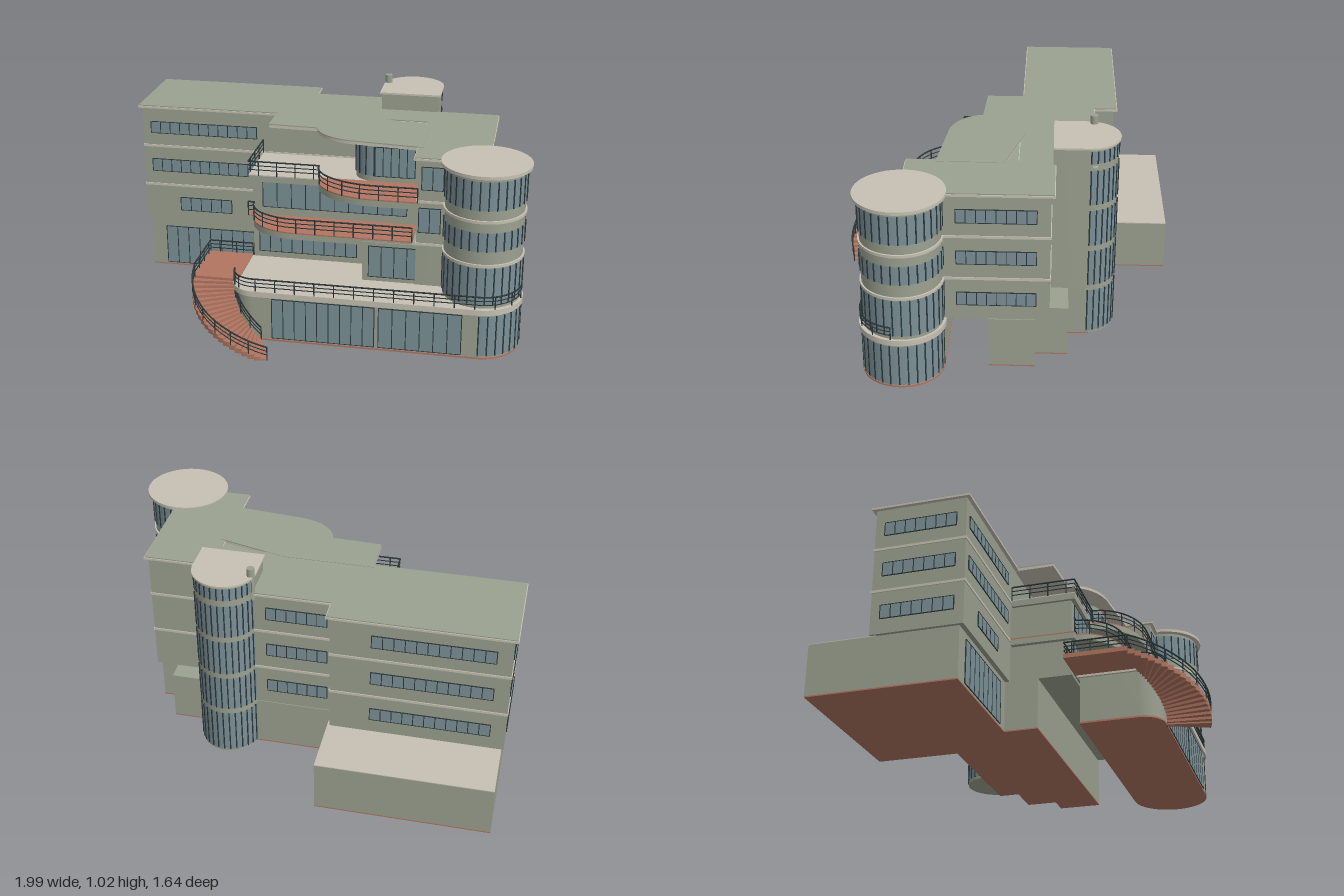
import * as THREE from 'three';
import { mergeGeometries, toCreasedNormals } from 'three/addons/utils/BufferGeometryUtils.js';

const mat = (name, color, side = THREE.FrontSide) => {
  const m = new THREE.MeshStandardMaterial({ color, side });
  m.name = name;
  return m;
};

export function createModel() {
  const model = new THREE.Group();
  model.name = 'building';
  const wall = mat('greyGreenWall', 0x9ba190);
  const cream = mat('creamTrim', 0xc6c1b3);
  const terracotta = mat('terracottaFloor', 0xb07560);
  const glass = mat('blueGreyGlass', 0x7c9198, THREE.DoubleSide);
  const dark = mat('darkMetal', 0x2c383b);

  const add = (name, geo, material) => {
    const mesh = new THREE.Mesh(geo, material);
    mesh.name = name;
    model.add(mesh);
    return mesh;
  };
  // Points of an elliptical arc in plan, angles in degrees from +x towards +z
  const arc = (cx, cz, rx, rz, a0, a1, n = 16) => Array.from({ length: n + 1 }, (_, i) => {
    const a = THREE.MathUtils.degToRad(a0 + (a1 - a0) * i / n);
    return [cx + rx * Math.cos(a), cz + rz * Math.sin(a)];
  });
  // Vertical prism over a plan outline of [x, z] points
  const prism = (name, pts, y0, y1, material) => {
    const shape = new THREE.Shape(pts.map(([x, z]) => new THREE.Vector2(x, -z)));
    const geo = new THREE.ExtrudeGeometry(shape, { depth: y1 - y0, bevelEnabled: false });
    geo.rotateX(-Math.PI / 2).translate(0, y0, 0);
    return add(name, toCreasedNormals(geo, 0.5), material);
  };
  const rect = (x0, x1, z0, z1) => [[x0, z0], [x1, z0], [x1, z1], [x0, z1]];
  const disc = (name, x, z, r, y0, y1, material) =>
    add(name, new THREE.CylinderGeometry(r, r, y1 - y0, 48).translate(x, (y0 + y1) / 2, z), material);

  // Flat window: glass plate with frame and mullions, centred on a wall face
  const windowRow = (name, x, z, w, y0, y1, panes, turn = 0) => {
    const g = new THREE.Group(), h = y1 - y0;
    g.name = name;
    g.add(new THREE.Mesh(new THREE.BoxGeometry(w, h, 0.006), glass));
    const bars = [];
    for (let i = 0; i <= panes; i++)
      bars.push(new THREE.BoxGeometry(0.004, h, 0.009).translate(-w / 2 + w * i / panes, 0, 0));
    for (const s of [-1, 1]) bars.push(new THREE.BoxGeometry(w, 0.003, 0.009).translate(0, s * h / 2, 0));
    g.add(new THREE.Mesh(mergeGeometries(bars), dark));
    g.children[0].name = 'pane';
    g.children[1].name = 'frame';
    g.position.set(x, (y0 + y1) / 2, z);
    g.rotation.y = turn;
    model.add(g);
  };
  // Curved window around a round wall, angles as in arc()
  const roundWindow = (name, cx, cz, r, y0, y1, a0, a1, panes) => {
    const h = y1 - y0, y = (y0 + y1) / 2, rad = THREE.MathUtils.degToRad;
    add(name, new THREE.CylinderGeometry(r, r, h, 40, 1, true, rad(90 - a1), rad(a1 - a0)).translate(cx, y, cz), glass);
    const bars = arc(cx, cz, r, r, a0, a1, panes).map(([x, z]) =>
      new THREE.BoxGeometry(0.006, h, 0.006).rotateY(Math.atan2(x - cx, z - cz)).translate(x, y, z));
    add(name + 'Mullions', mergeGeometries(bars), dark);
  };

  // Railing along [x, y, z] points: three bars and evenly spaced posts
  const bar = (a, b, r) => {
    const d = new THREE.Vector3().subVectors(b, a), len = d.length();
    const q = new THREE.Quaternion().setFromUnitVectors(new THREE.Vector3(0, 1, 0), d.normalize());
    const geo = new THREE.CylinderGeometry(r, r, len, 5);
    return geo.applyQuaternion(q).translate((a.x + b.x) / 2, (a.y + b.y) / 2, (a.z + b.z) / 2);
  };
  const railing = (name, pts, h = 0.06) => {
    const geos = [], path = new THREE.CurvePath();
    const v = pts.map((p) => new THREE.Vector3(...p));
    const up = (p, k) => p.clone().setY(p.y + k * h);
    for (let i = 1; i < v.length; i++) {
      path.add(new THREE.LineCurve3(v[i - 1], v[i]));
      for (const k of [0.35, 0.67, 1]) geos.push(bar(up(v[i - 1], k), up(v[i], k), k === 1 ? 0.004 : 0.0025));
    }
    const n = Math.max(2, Math.round(path.getLength() / 0.09));
    for (let i = 0; i <= n; i++) {
      const p = path.getPointAt(i / n);
      geos.push(bar(up(p, -0.1), up(p, 1), 0.003));
    }
    add(name, mergeGeometries(geos), dark);
  };
  const level = (pts, y) => pts.map(([x, z]) => [x, y, z]);

  // Ground floor: front podium with rounded ends, and rear block
  const podium = (o) => [[-0.35 - o, 0.24 - o], [0.79, 0.24 - o], ...arc(0.79, 0.425, 0.18 + o, 0.185 + o, -90, 90, 28),
    ...arc(-0.25, 0.51, 0.1 + o, 0.1 + o, 90, 180, 8)];
  prism('podiumBase', podium(0.003), 0, 0.008, terracotta);
  prism('podiumWalls', podium(0), 0.008, 0.225, wall);
  prism('podiumRoof', podium(0.012), 0.225, 0.252, cream);
  const rear = [[-0.97, -0.82], [-0.15, -0.82], [-0.15, -0.42], [0.5, -0.42], [0.5, -0.32], [0.68, -0.32],
    [0.68, -0.17], [0.785, -0.17], [0.785, 0.04], [-0.35, 0.04], [-0.35, -0.12], [-0.97, -0.12]];
  prism('rearBase', rear, 0, 0.006, terracotta);
  prism('rearWalls', rear, 0.006, 0.25, wall);
  prism('annexRoof', rect(-0.97, -0.15, -0.82, -0.5), 0.25, 0.254, cream);
  windowRow('podiumWindowA', 0.08, 0.61, 0.48, 0.015, 0.215, 9);
  windowRow('podiumWindowB', 0.53, 0.61, 0.38, 0.015, 0.215, 6);
  windowRow('rearLeftWindow', -0.655, -0.12, 0.47, 0.015, 0.22, 8);
  roundWindow('podiumRoundWindow', 0.79, 0.425, 0.185, 0.015, 0.215, -88, 88, 14);

  // Upper floors
  const body = [[-0.98, -0.53], [-0.16, -0.53], [-0.16, -0.42], [0.48, -0.42], [0.48, -0.235], [0.785, -0.235],
    [0.785, 0.4], [0.6, 0.41], [0.48, 0.41], [0.48, -0.1], [-0.98, -0.1]];
  const grow = (o) => body.map(([x, z], i) => [x + (i === 0 || i === 10 || i === 7 || i === 8 || i === 9 ? -o : o) * (i === 7 ? 0 : 1),
    z + (i < 6 ? -o : o)]);
  prism('upperWalls', body, 0.253, 0.876, wall);
  prism('roofTrim', grow(0.018), 0.874, 0.884, cream);
  prism('roof', grow(0.014), 0.884, 0.889, wall);
  for (const y of [0.455, 0.665]) prism('floorBand', grow(0.004), y, y + 0.012, cream);
  prism('middleBlock', rect(-0.34, 0.5, -0.12, 0.2), 0.253, 0.655, wall);
  prism('projectingBay', rect(0.23, 0.6, 0.15, 0.405), 0.253, 0.45, wall);
  prism('gardenRoom', [[0.15, -0.11], [0.49, -0.11], [0.49, 0.2], ...arc(0.25, 0.1, 0.1, 0.1, 90, 180, 8)], 0.66, 0.876, wall);

  // Canopy over the top terrace
  const canopy = [[-0.28, -0.11], [0.15, -0.11], [0.49, -0.02], [0.49, 0.29], ...arc(0.19, 0.09, 0.23, 0.17, 90, 175), [-0.28, 0.095]];
  prism('canopyTrim', canopy, 0.872, 0.886, cream);
  prism('canopyTop', canopy, 0.886, 0.891, wall);

  // Terraces with curved edges
  const edge2 = [[-0.36, 0.22], ...arc(-0.1, 0.22, 0.23, 0.18, 180, 90), [0.46, 0.4]];
  const edge3 = [[-0.355, 0.22], ...arc(0.28, 0.22, 0.29, 0.21, 180, 90), [0.485, 0.43]];
  const outline2 = [[0.46, -0.09], [-0.365, -0.09], ...edge2], outline3 = [[0.485, -0.09], [-0.355, -0.09], ...edge3];
  prism('middleTerrace', outline2, 0.43, 0.458, wall);
  prism('middleTerraceFloor', outline2, 0.458, 0.464, terracotta);
  prism('topTerrace', outline3, 0.638, 0.668, wall);
  prism('topTerraceFloor', [[0.48, 0.2], [-0.01, 0.2], ...edge3.slice(1)], 0.668, 0.674, terracotta);
  prism('topTerracePaving', [[-0.355, -0.09], [0.48, -0.09], [0.48, 0.22], [-0.355, 0.22]], 0.668, 0.673, cream);
  railing('middleTerraceRail', level(edge2, 0.468), 0.065);
  railing('topTerraceRail', level([[-0.355, -0.09], ...edge3], 0.676), 0.065);

  // Front windows
  windowRow('leftWindowTop', -0.665, -0.1, 0.55, 0.74, 0.8, 11);
  windowRow('leftWindowMiddle', -0.665, -0.1, 0.55, 0.535, 0.6, 11);
  windowRow('leftWindowLow', -0.665, -0.1, 0.27, 0.325, 0.395, 5);
  windowRow('middleWindowLow', -0.07, 0.2, 0.48, 0.27, 0.43, 9);
  windowRow('bayWindow', 0.41, 0.405, 0.3, 0.275, 0.43, 5);
  windowRow('middleWindowHigh', 0.06, 0.2, 0.7, 0.505, 0.637, 10);
  windowRow('gardenRoomWindow', 0.35, 0.2, 0.19, 0.7, 0.845, 5);
  roundWindow('gardenRoomCorner', 0.25, 0.1, 0.102, 0.7, 0.845, 90, 180, 4);
  windowRow('cornerWindow', 0.54, 0.41, 0.1, 0.52, 0.64, 2);
  windowRow('cornerWindow', 0.55, 0.41, 0.1, 0.73, 0.84, 2);

  // Side and back windows on three floors
  for (const y of [0.325, 0.535, 0.74]) {
    windowRow('rightSideWindow', 0.785, 0.003, 0.355, y, y + 0.065, 8, Math.PI / 2);
    windowRow('leftSideWindow', -0.98, -0.315, 0.34, y, y + 0.065, 7, -Math.PI / 2);
    windowRow('backWindow', -0.63, -0.53, 0.56, y, y + 0.065, 11, Math.PI);
    windowRow('backMiddleWindow', 0.02, -0.42, 0.29, y, y + 0.065, 6, Math.PI);
  }

  // Round corner tower
  disc('towerWall', 0.79, 0.42, 0.18, 0.25, 0.876, wall);
  for (const [y0, y1] of [[0.27, 0.45], [0.53, 0.62], [0.725, 0.86]])
    roundWindow('towerWindow', 0.79, 0.42, 0.184, y0, y1, -90, 180, 22);
  for (const y of [0.455, 0.665]) disc('towerBand', 0.79, 0.42, 0.188, y, y + 0.013, cream);
  disc('towerCap', 0.79, 0.42, 0.204, 0.878, 0.893, cream);

  // Stair tower at the back, with chimney
  const stairPlan = (o) => [[0.5 + o, -0.24], [0.22 - o, -0.24], ...arc(0.36, -0.395, 0.14 + o, 0.14 + o, 180, 360, 28)];
  prism('stairTower', stairPlan(0), 0.006, 0.966, wall);
  prism('stairTowerRoof', stairPlan(0.011), 0.966, 0.975, cream);
  for (const [y0, y1] of [[0.02, 0.24], [0.27, 0.45], [0.48, 0.66], [0.69, 0.86], [0.895, 0.955]])
    roundWindow('stairTowerWindow', 0.36, -0.395, 0.143, y0, y1, 186, 354, 14);
  disc('chimney', 0.228, -0.425, 0.018, 0.85, 1.015, wall);

  // Landing and curved outside stair
  prism('landing', rect(-0.56, -0.34, 0.22, 0.512), 0.235, 0.256, terracotta);
  const steps = 20, a0 = 180, a1 = 69;
  for (let i = 0; i < steps; i++) {
    const s = a0 + (a1 - a0) * i / steps, e = a0 + (a1 - a0) * (i + 1) / steps;
    const top = 0.25 * (1 - (i + 0.5) / steps);
    prism('step', [...arc(-0.25, 0.512, 0.305, 0.305, s, e, 2), ...arc(-0.25, 0.512, 0.105, 0.105, e, s, 1)],
      Math.max(0, top - 0.024), top, terracotta);
  }
  const climb = (r) => arc(-0.25, 0.512, r, r, a0, a1, 20).map(([x, z], i) => [x, 0.25 * (1 - i / 20) + 0.004, z]);
  railing('stairOuterRail', climb(0.303));
  railing('stairInnerRail', climb(0.107));
  railing('landingRail', level([[-0.555, 0.51], [-0.555, 0.222], [-0.34, 0.222]], 0.254));
  railing('podiumRail', level([...arc(-0.25, 0.51, 0.107, 0.107, 180, 90, 8), ...arc(0.79, 0.425, 0.186, 0.19, 90, 10, 14)], 0.254));
  return model;
}
